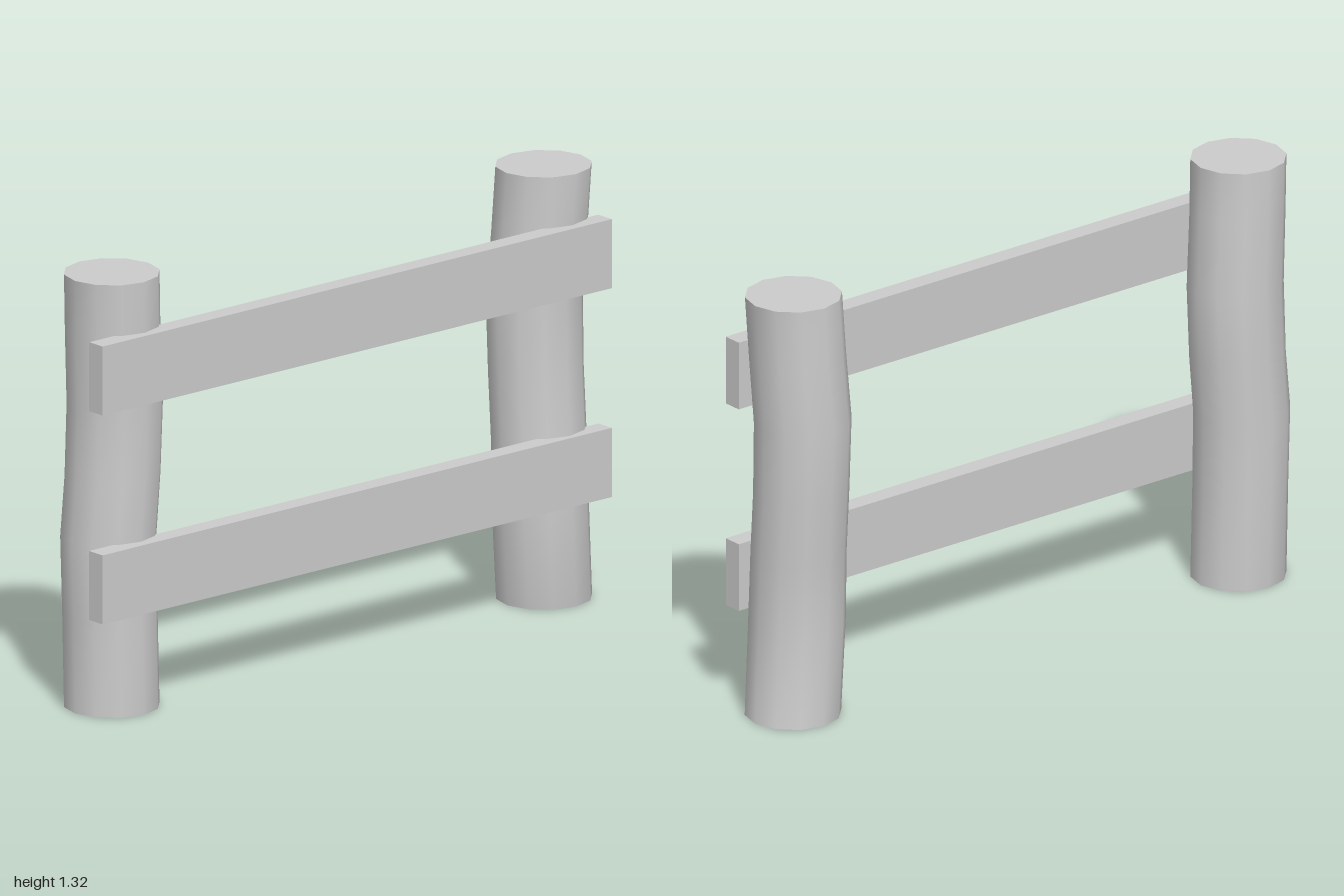
import * as THREE from 'three';
import { toCreasedNormals } from 'three/addons/utils/BufferGeometryUtils.js';

const wood = new THREE.MeshStandardMaterial({ color: 0xcccccc });

// Log post: a twelve-sided cylinder whose rings, top to bottom, are [y, x, z, radius x, radius z]
function makePost(name, rings) {
  const last = rings.length - 1;
  const geometry = new THREE.CylinderGeometry(1, 1, 1, 12, last);
  const p = geometry.attributes.position;
  for (let i = 0; i < p.count; i++) {
    const [y, x, z, rx, rz] = rings[Math.round((0.5 - p.getY(i)) * last)];
    p.setXYZ(i, x + p.getX(i) * rx, y, z + p.getZ(i) * rz);
  }
  const post = new THREE.Mesh(toCreasedNormals(geometry, 0.8), wood);
  post.name = name;
  return post;
}

// Flat plank nailed across the front of both posts
function makeRail(name, y) {
  const rail = new THREE.Mesh(new THREE.BoxGeometry(1.975, 0.21, 0.06), wood);
  rail.position.set(-0.0125, y, 0.135);
  rail.name = name;
  return rail;
}

export function createModel() {
  const fence = new THREE.Group();
  fence.name = 'fenceSection';

  fence.add(
    makePost('rightPost', [
      [1.315, -0.82, 0, 0.142, 0.142],
      [1.15, -0.815, -0.002, 0.142, 0.142],
      [0.92, -0.803, -0.006, 0.144, 0.142],
      [0.7, -0.81, -0.008, 0.142, 0.144],
      [0.52, -0.826, -0.008, 0.144, 0.142],
      [0.28, -0.822, -0.006, 0.141, 0.143],
      [0, -0.82, 0, 0.142, 0.142],
    ]),
    makePost('leftPost', [
      [1.315, 0.855, 0, 0.144, 0.142],
      [1.12, 0.845, -0.007, 0.144, 0.142],
      [0.92, 0.834, -0.017, 0.145, 0.143],
      [0.7, 0.832, -0.008, 0.143, 0.141],
      [0.5, 0.831, 0.006, 0.143, 0.141],
      [0.27, 0.825, 0.021, 0.145, 0.143],
      [0, 0.857, 0, 0.143, 0.142],
    ]),
    makeRail('upperRail', 1.055),
    makeRail('lowerRail', 0.42),
  );
  return fence;
}
